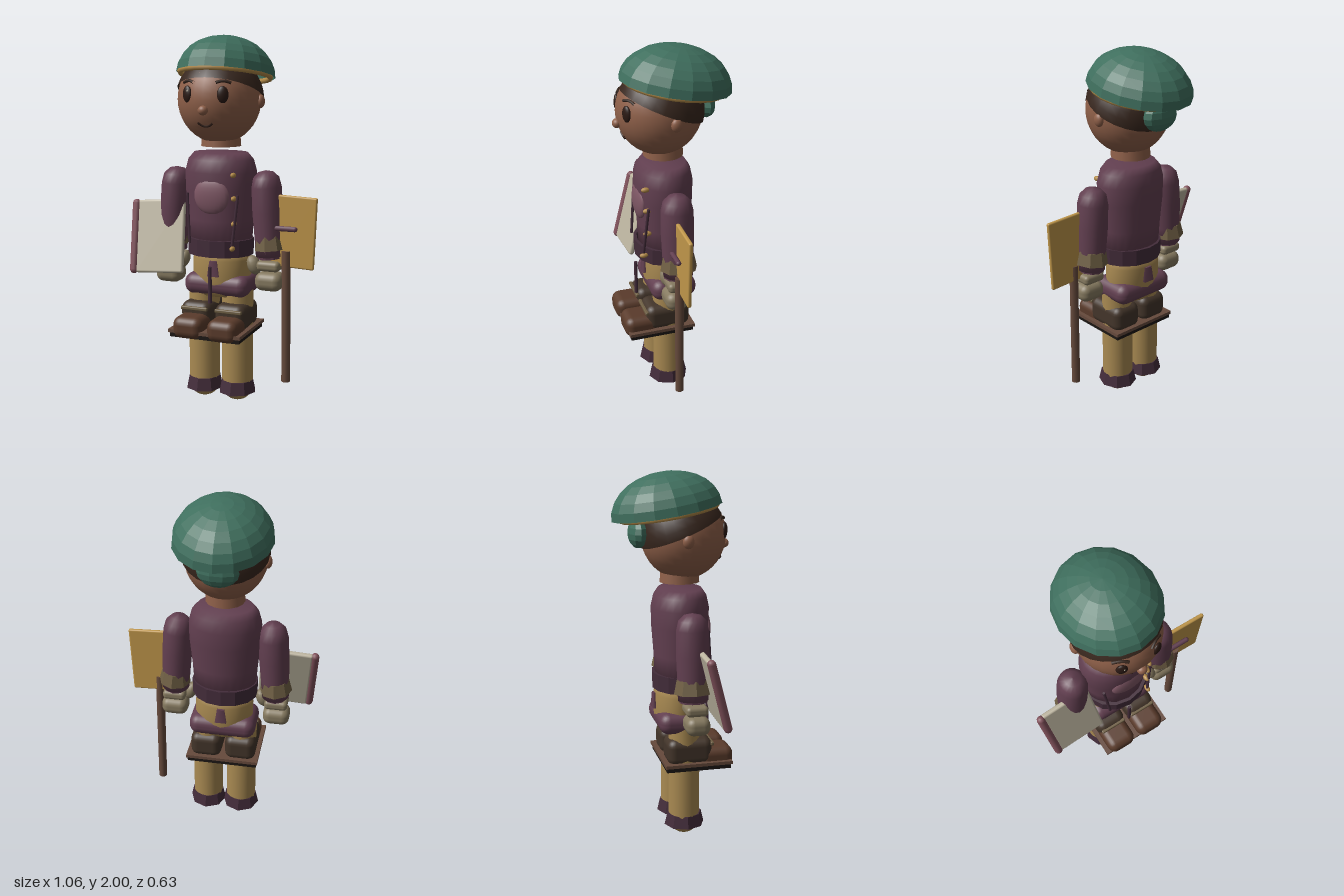
import * as THREE from 'three';
import { RoundedBoxGeometry } from 'three/addons/geometries/RoundedBoxGeometry.js';

const COL = {
  green: 0x3f6f5e, skin: 0x8f6049, hair: 0x37261d, dark: 0x2b1a14, purple: 0x623f50, patch: 0x7f5765,
  deep: 0x432c3a, gold: 0xa98a52, trim: 0xb28a48, olive: 0x6f5f44, glove: 0x867a60, boot: 0x5a3b2b,
  shaft: 0x43352a, wood: 0x664a3c, board: 0xbf964a, page: 0xbdb5a0, spine: 0x82525c, black: 0x1c1714,
};
const CX = -0.018; // body axis

function mat(color, flat = false) {
  return new THREE.MeshStandardMaterial({ color: COL[color], flatShading: flat, side: THREE.DoubleSide });
}
function add(parent, name, geo, color, pos = [0, 0, 0], { rot = [0, 0, 0], scale = [1, 1, 1], flat = false } = {}) {
  const m = new THREE.Mesh(geo, mat(color, flat));
  m.name = name;
  m.position.set(...pos);
  m.rotation.set(...rot);
  m.scale.set(...scale);
  parent.add(m);
  return m;
}
const ball = (w = 20, h = 14) => new THREE.SphereGeometry(1, w, h);
const rbox = (w, h, d, r) => new RoundedBoxGeometry(w, h, d, 3, r);
const lathe = (pts, seg = 24) => new THREE.LatheGeometry(pts.map(p => new THREE.Vector2(...p)), seg);

// Straight rod between two points
function rod(parent, name, color, a, b, r, seg = 10) {
  const A = new THREE.Vector3(...a), B = new THREE.Vector3(...b);
  const m = add(parent, name, new THREE.CylinderGeometry(r, r, A.distanceTo(B), seg), color);
  m.position.copy(A).add(B).multiplyScalar(0.5);
  m.quaternion.setFromUnitVectors(new THREE.Vector3(0, 1, 0), B.sub(A).normalize());
  return m;
}

function buildHead() {
  const g = new THREE.Group();
  g.name = 'head';
  const [rx, ry, rz] = [0.222, 0.235, 0.228], cy = 1.665, cz = 0.07;
  const onFace = (dx, dy, out = 0) =>
    [CX + dx, cy + dy, cz + out + rz * Math.sqrt(1 - (dx / rx) ** 2 - (dy / ry) ** 2)];

  add(g, 'skull', ball(28, 20), 'skin', [CX, cy, cz], { scale: [rx, ry, rz] });
  add(g, 'neck', new THREE.CylinderGeometry(0.1, 0.108, 0.1, 16), 'skin', [CX, 1.465, 0.05]);
  // hair cap cut by a plane that drops towards the back
  add(g, 'hair', new THREE.SphereGeometry(0.235, 24, 8, 0, Math.PI * 2, 0, 1.45), 'hair', [CX, cy, cz - 0.003], { rot: [-0.4, 0, 0] });
  add(g, 'bun', ball(10, 8), 'green', [CX, 1.68, -0.175], { scale: [0.11, 0.08, 0.052], flat: true });

  for (const s of [-1, 1]) {
    add(g, 'ear', ball(), 'skin', [CX + s * 0.222, 1.655, 0.045], { scale: [0.022, 0.036, 0.03] });
    add(g, 'eye', ball(), 'dark', onFace(s * 0.098, 0.03, -0.004), { scale: [0.03, 0.044, 0.016], rot: [0, s * 0.4, 0] });
    add(g, 'eyeHighlight', ball(8, 6), 'page', onFace(s * 0.098 + 0.006, 0.047, 0.01), { scale: [0.006, 0.007, 0.005] });
    const brow = new THREE.QuadraticBezierCurve3(
      ...[[0.062, 0.09], [0.095, 0.108], [0.132, 0.088]].map(([x, y]) => new THREE.Vector3(...onFace(s * x, y, 0.004))));
    add(g, 'eyebrow', new THREE.TubeGeometry(brow, 8, 0.008, 6), 'hair');
  }
  add(g, 'nose', ball(), 'skin', onFace(0, -0.05, 0.004), { scale: [0.027, 0.025, 0.024] });
  const smile = new THREE.CatmullRomCurve3(
    [[-0.042, -0.115], [-0.02, -0.13], [0, -0.134], [0.02, -0.13], [0.042, -0.115]].map(([x, y]) => new THREE.Vector3(...onFace(x, y, 0.001))));
  add(g, 'mouth', new THREE.TubeGeometry(smile, 12, 0.006, 6), 'dark');

  // domed hat tilted back, with a trim ring under the rim
  const hat = new THREE.Group();
  hat.name = 'hat';
  hat.position.set(CX, 1.79, -0.018);
  hat.rotation.x = -0.17;
  add(hat, 'hatDome', new THREE.SphereGeometry(1, 16, 7, 0, Math.PI * 2, 0, Math.PI / 2), 'green', [0, 0, 0], { scale: [0.262, 0.207, 0.3], flat: true });
  add(hat, 'hatTrim', new THREE.TorusGeometry(1, 0.055, 6, 24), 'trim', [0, -0.002, 0.01], { rot: [Math.PI / 2, 0, 0], scale: [0.243, 0.26, 0.28] });
  g.add(hat);
  return g;
}

function buildTorso() {
  const g = new THREE.Group();
  g.name = 'torso';
  const body = lathe([[0, 1.385], [0.15, 1.382], [0.182, 1.345], [0.2, 1.28], [0.198, 1.18], [0.182, 1.02], [0.172, 0.86], [0, 0.86]]);
  add(g, 'tunic', body, 'purple', [CX, 0, 0.052], { scale: [1, 1, 0.775] });
  add(g, 'belt', lathe([[0.17, 0.83], [0.183, 0.83], [0.185, 0.92], [0.165, 0.92]], 14), 'deep', [CX, 0, 0.057], { scale: [1, 1, 0.86], flat: true });
  add(g, 'chestPatch', ball(), 'patch', [CX, 1.16, 0.185], { scale: [0.1, 0.102, 0.032] });
  for (const y of [1.275, 1.15, 1.015, 0.885])
    add(g, 'button', ball(10, 8), 'trim', [0.105, y, y > 1.2 ? 0.185 : y < 0.9 ? 0.198 : 0.177], { scale: [0.014, 0.014, 0.024] });
  for (const s of [-1, 1])
    rod(g, 'frontCord', 'deep', [CX + s * 0.145, 1.17, 0.175], [CX + s * 0.122, 0.9, 0.2], 0.008, 6);

  // trousers and pouch below the belt
  add(g, 'hips', lathe([[0, 0.87], [0.15, 0.86], [0.163, 0.8], [0.165, 0.68], [0.14, 0.6], [0, 0.59]]), 'gold', [CX, 0, 0.037], { scale: [1, 1, 0.78] });
  add(g, 'pouch', rbox(0.375, 0.12, 0.255, 0.055), 'purple', [CX, 0.66, 0.035]);
  add(g, 'frontTab', new THREE.CylinderGeometry(0.028, 0.045, 0.085, 4, 1, false, Math.PI / 4), 'purple', [CX, 0.76, 0.165], { scale: [1, 1, 0.4] });
  add(g, 'backTab', new THREE.CylinderGeometry(0.028, 0.045, 0.085, 4, 1, false, Math.PI / 4), 'purple', [CX, 0.76, -0.092], { scale: [1, 1, 0.4] });
  rod(g, 'frontTassel', 'deep', [CX, 0.78, 0.212], [CX, 0.58, 0.212], 0.01, 6);
  return g;
}

function buildArm(s) {
  const g = new THREE.Group();
  g.name = s > 0 ? 'leftArm' : 'rightArm';
  const at = (x, y, z) => [CX + s * x, y, z];
  const sleeve = lathe([[0, 0.24], [0.042, 0.23], [0.07, 0.2], [0.081, 0.15], [0.083, 0.02], [0.078, -0.12], [0.076, -0.22], [0, -0.22]], 18);
  add(g, 'sleeve', sleeve, 'purple', at(0.272, 1.055, 0.057), { rot: [0, 0, s * 0.06], scale: [1, 1, 1.06] });
  const tilt = { rot: [0, 0, s * 0.08], scale: [0.92, 1, 1.05], flat: true };
  add(g, 'cuff', new THREE.CylinderGeometry(0.082, 0.097, 0.075, 8), 'olive', at(0.285, 0.91, 0.055), tilt);
  add(g, 'sleeveEnd', new THREE.CylinderGeometry(0.076, 0.072, 0.06, 10), 'purple', at(0.286, 0.853, 0.06), tilt);
  add(g, 'wristBand', rbox(0.13, 0.055, 0.12, 0.022), 'glove', at(0.291, 0.785, 0.068));
  add(g, 'hand', rbox(0.15, 0.1, 0.13, 0.042), 'glove', at(0.293, 0.7, 0.075));
  add(g, 'thumb', ball(12, 10), 'glove', at(0.208, 0.785, 0.095), { scale: [0.036, 0.055, 0.04], rot: [0, 0, s * 0.4] });
  return g;
}

function buildLeg(s) {
  const g = new THREE.Group();
  g.name = s > 0 ? 'leftLeg' : 'rightLeg';
  const x = CX + s * 0.099;
  add(g, 'leg', new THREE.CylinderGeometry(0.086, 0.086, 0.57, 20), 'gold', [x, 0.365, 0.055]);
  add(g, 'ankleCuff', lathe([[0.085, 0.12], [0.093, 0.12], [0.108, 0.052], [0.072, 0.05]], 8), 'deep', [x, 0, 0.057], { scale: [0.97, 1, 1.04], flat: true });
  add(g, 'footEnd', ball(16, 10), 'gold', [x, 0.07, 0.055], { scale: [0.082, 0.07, 0.082] });
  add(g, 'bootShaft', rbox(0.176, 0.15, 0.25, 0.045), 'shaft', [x, 0.495, 0.075]);
  add(g, 'bootToe', rbox(0.17, 0.12, 0.19, 0.045), 'boot', [x, 0.452, 0.225]);
  add(g, 'bootStrap', rbox(0.155, 0.02, 0.02, 0.006), 'olive', [x, 0.537, 0.198]);
  return g;
}

export function createModel() {
  const model = new THREE.Group();
  model.name = 'figure';
  model.add(buildHead(), buildTorso());
  for (const s of [-1, 1]) model.add(buildArm(s), buildLeg(s));

  // platform around the legs
  add(model, 'platformTop', new THREE.BoxGeometry(0.415, 0.018, 0.375), 'wood', [CX, 0.431, 0.118]);
  add(model, 'platformBase', new THREE.BoxGeometry(0.4, 0.024, 0.36), 'black', [CX, 0.41, 0.118]);

  // leaning book held by the right hand
  const book = new THREE.Group();
  book.name = 'book';
  book.position.set(-0.342, 0.912, 0.14);
  book.rotation.set(-0.27, 0, 0.07);
  add(book, 'pages', rbox(0.285, 0.405, 0.03, 0.012), 'page');
  add(book, 'spine', new THREE.CapsuleGeometry(0.023, 0.37, 4, 10), 'spine', [-0.153, 0, 0.005]);
  model.add(book);

  // board, peg and stick by the left hand
  add(model, 'board', rbox(0.24, 0.385, 0.022, 0.009), 'board', [0.406, 0.975, 0.077], { rot: [0, 0, -0.04] });
  add(model, 'peg', new THREE.CapsuleGeometry(0.014, 0.14, 4, 8), 'purple', [0.35, 0.995, 0.105], { rot: [0, 0, Math.PI / 2] });
  rod(model, 'stick', 'wood', [0.366, 0.872, 0.082], [0.372, 0.15, 0.082], 0.024, 10);
  return model;
}
